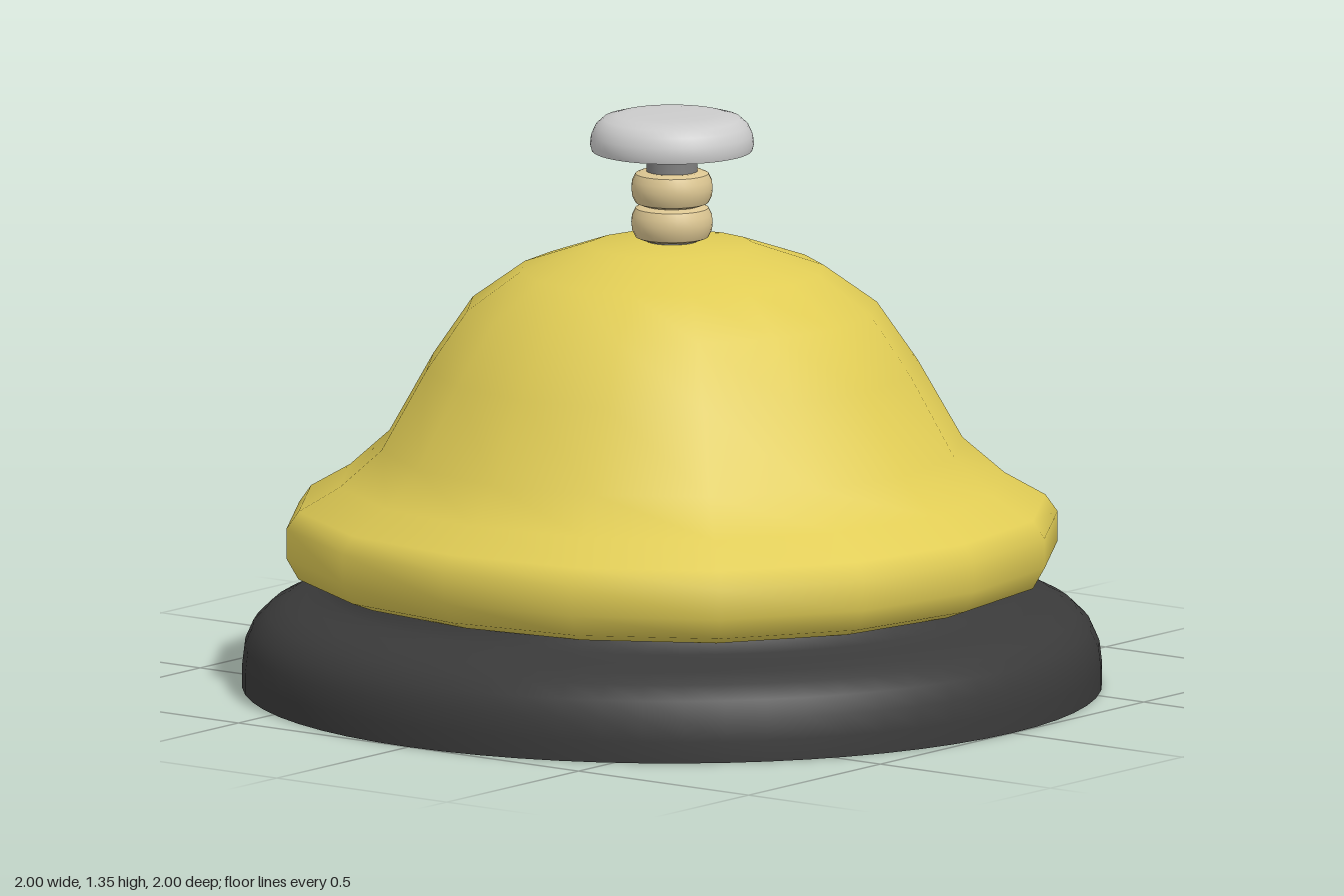
import * as THREE from 'three';
import { mergeVertices, toCreasedNormals } from 'three/addons/utils/BufferGeometryUtils.js';

const material = (color) => new THREE.MeshStandardMaterial({ color });

// Turned part from [radius, height] pairs, outer side running bottom to top
function turned(name, profile, sides, mat, crease = 0.7) {
  const points = profile.map(([r, y]) => new THREE.Vector2(r, y));
  const lathe = new THREE.LatheGeometry(points, sides);
  const mesh = new THREE.Mesh(toCreasedNormals(lathe, crease), mat);
  mesh.name = name;
  return mesh;
}

// Bell shell with 16 sides, its flared rim slightly out of round
function makeBell(mat) {
  const profile = [
    // inner wall, downwards
    [0, 1.01], [0.17, 1.0], [0.44, 0.87], [0.62, 0.6], [0.72, 0.4], [0.74, 0.25],
    // outer wall, upwards
    [0.81, 0.25], [0.862, 0.27], [0.89, 0.32], [0.89, 0.39], [0.862, 0.43],
    [0.77, 0.485], [0.68, 0.57], [0.575, 0.757], [0.48, 0.895], [0.355, 0.985],
    [0.19, 1.042], [0, 1.055],
  ];
  const geometry = new THREE.LatheGeometry(profile.map(([r, y]) => new THREE.Vector2(r, y)), 16);
  const pos = geometry.attributes.position;
  for (let i = 0; i < pos.count; i++) {
    const x = pos.getX(i), z = pos.getZ(i);
    const t = Math.atan2(x, z);
    const weight = 1 - THREE.MathUtils.smoothstep(pos.getY(i), 0.43, 0.6);
    const scale = 1 + weight * (0.0124 * Math.cos(2 * t) - 0.0152 * Math.cos(4 * t));
    pos.setX(i, x * scale);
    pos.setZ(i, z * scale);
  }
  // weld the seam so the shading is smooth all round
  geometry.deleteAttribute('uv');
  geometry.deleteAttribute('normal');
  const welded = mergeVertices(geometry, 1e-4);
  welded.computeVertexNormals();
  const mesh = new THREE.Mesh(welded, mat);
  mesh.name = 'bell';
  return mesh;
}

export function createModel() {
  const model = new THREE.Group();
  model.name = 'deskBell';
  const black = material(0x3a3a3a);
  const gold = material(0xe0cc55);
  const brass = material(0xdcc692);
  const steel = material(0x808080);
  const silver = material(0xcccccc);

  // Round foot
  model.add(turned('base', [
    [0, 0], [1, 0], [1, 0.05], [0.994, 0.1], [0.975, 0.142], [0.942, 0.174], [0.9, 0.195],
    [0.85, 0.208], [0.805, 0.22], [0.78, 0.235], [0.765, 0.255], [0, 0.255],
  ], 64, black));

  model.add(makeBell(gold));

  // Plunger rod
  model.add(turned('plungerRod', [[0, 0.95], [0.06, 0.95], [0.06, 1.31], [0, 1.31]], 24, steel));

  // Two rounded nuts stacked on the bell
  for (const [name, y] of [['lowerNut', 1.055], ['upperNut', 1.136]]) {
    const nut = turned(name, [
      [0, 0], [0.07, 0], [0.085, 0.006], [0.093, 0.022], [0.095, 0.04],
      [0.093, 0.058], [0.085, 0.074], [0.07, 0.08], [0, 0.08],
    ], 32, brass);
    nut.position.y = y;
    model.add(nut);
  }

  // Push button, hollowed underneath
  model.add(turned('button', [
    [0, 1.312], [0.08, 1.308], [0.135, 1.295], [0.17, 1.265], [0.187, 1.265], [0.191, 1.28],
    [0.188, 1.302], [0.178, 1.324], [0.16, 1.34], [0.13, 1.348], [0.1, 1.35], [0, 1.35],
  ], 48, silver));

  return model;
}
